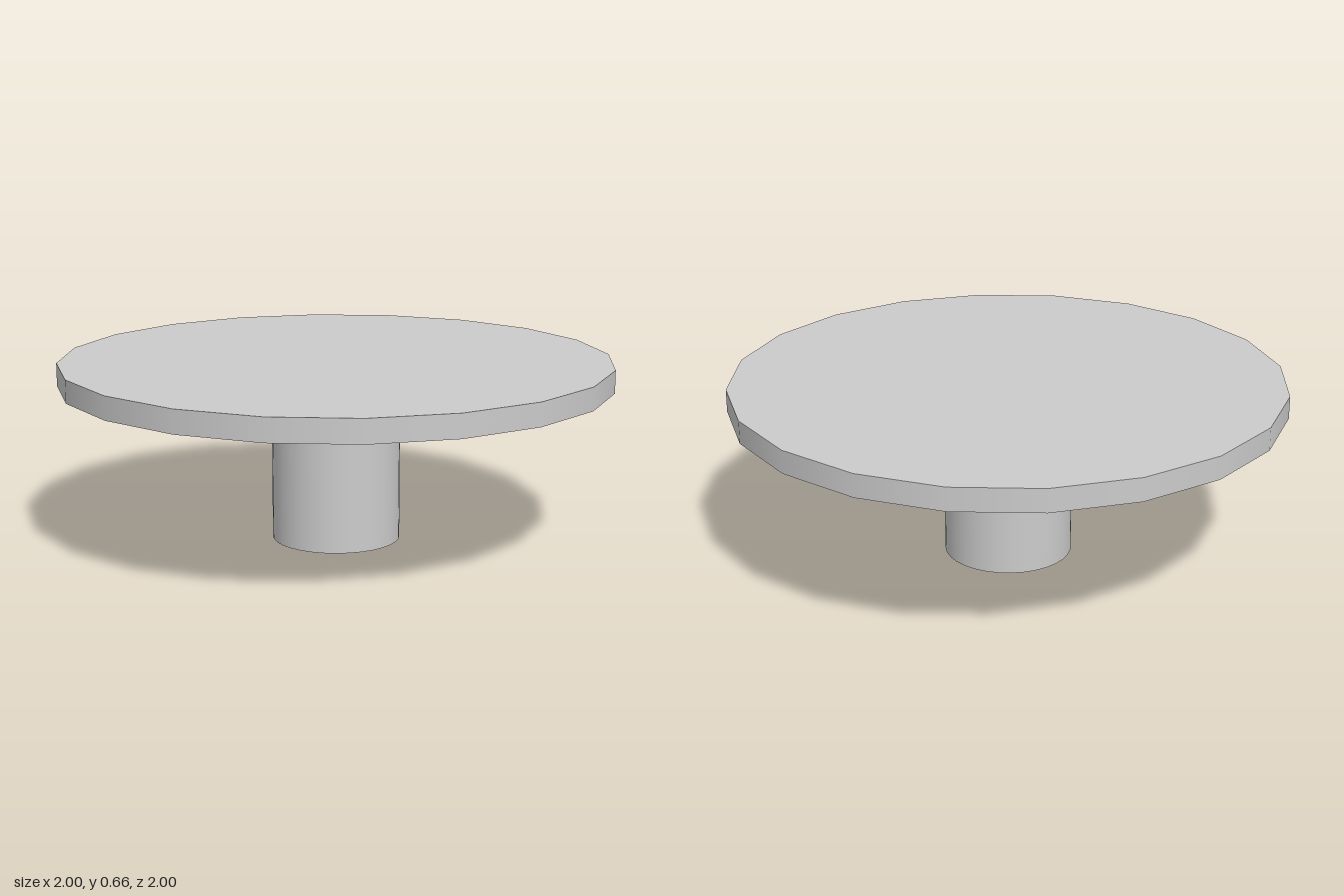
import * as THREE from 'three';

const material = new THREE.MeshStandardMaterial({ color: 0xcccccc });

// Upright cylinder standing on the height `bottom`
function disc(name, radius, bottom, top, sides) {
  const mesh = new THREE.Mesh(
    new THREE.CylinderGeometry(radius, radius, top - bottom, sides),
    material
  );
  mesh.position.y = (bottom + top) / 2;
  mesh.name = name;
  return mesh;
}

export function createModel() {
  const group = new THREE.Group();
  group.name = 'pedestalTable';

  // Central column, then the twenty-sided top resting on it
  group.add(disc('pedestal', 0.233, 0, 0.58, 32));
  group.add(disc('tableTop', 1, 0.58, 0.663, 20));

  return group;
}
